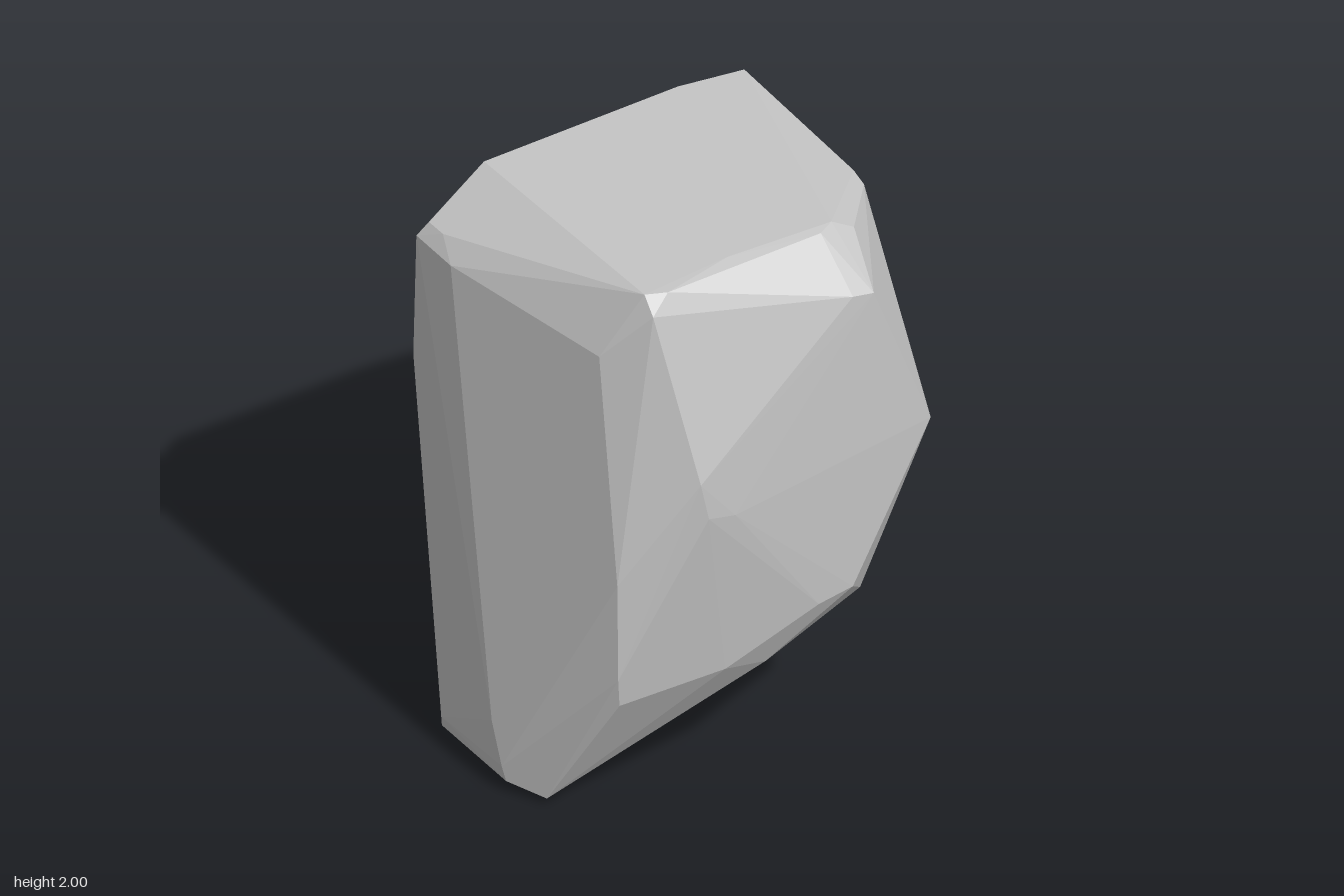
import * as THREE from 'three';
import { ConvexGeometry } from 'three/addons/geometries/ConvexGeometry.js';

export function createModel() {
  const group = new THREE.Group();
  group.name = 'rock';
  const stone = new THREE.MeshStandardMaterial({ color: 0xc5c5c5 });
  stone.name = 'stone grey';

  // corners of the chiselled boulder, grouped by region
  const corners = {
    cutSide: [[0.654, 1.97, -0.56], [0.654, 1.94, 0.07], [0.654, 1.92, 0.13],
      [0.647, 1.25, 0.525], [0.654, 0.585, 0.1], [0.654, 0.567, -0.56]],
    top: [[-0.34, 1.99, -0.56], [0.4, 2, -0.56], [-0.33, 1.99, 0.35], [-0.26, 1.99, 0.38],
      [0, 2, 0.33], [0.33, 1.99, 0.37], [0.39, 1.995, 0.34], [0.47, 1.95, 0.35]],
    front: [[-0.33, 1.93, 0.4], [0.43, 1.81, 0.525], [0.35, 1.825, 0.525], [-0.25, 1.34, 0.555],
      [-0.22, 1.2, 0.556], [-0.12, 1.18, 0.558], [0.35, 0.71, 0.525], [0.22, 0.69, 0.525]],
    frontFoot: [[-0.1, 0.53, 0.47], [0.08, 0.47, 0.43], [0.48, 0.57, 0.37], [-0.465, 0.49, 0.41]],
    leftSide: [[-0.48, 0.96, 0.42], [-0.48, 0.6, 0.425], [-0.45, 1.75, 0.27], [-0.6, 1.8, -0.36],
      [-0.605, 1.81, -0.55], [-0.57, 1.86, -0.53], [-0.57, 1.86, -0.45]],
    back: [[-0.61, 1.35, -0.56], [-0.34, 0.51, -0.56]],
    tip: [[-0.655, 0.25, -0.04], [-0.655, 0.1, -0.33], [-0.65, 0.1, 0.01], [-0.64, 0.045, 0.02],
      [-0.57, 0.025, 0.15], [-0.55, 0, -0.05], [-0.55, 0, -0.34], [-0.64, 0.05, -0.35], [-0.57, 0.04, -0.38]],
  };
  const points = Object.values(corners).flat().map((p) => new THREE.Vector3(...p));

  // faceted stone body
  const body = new THREE.Mesh(new ConvexGeometry(points), stone);
  body.name = 'boulder';
  group.add(body);
  return group;
}
